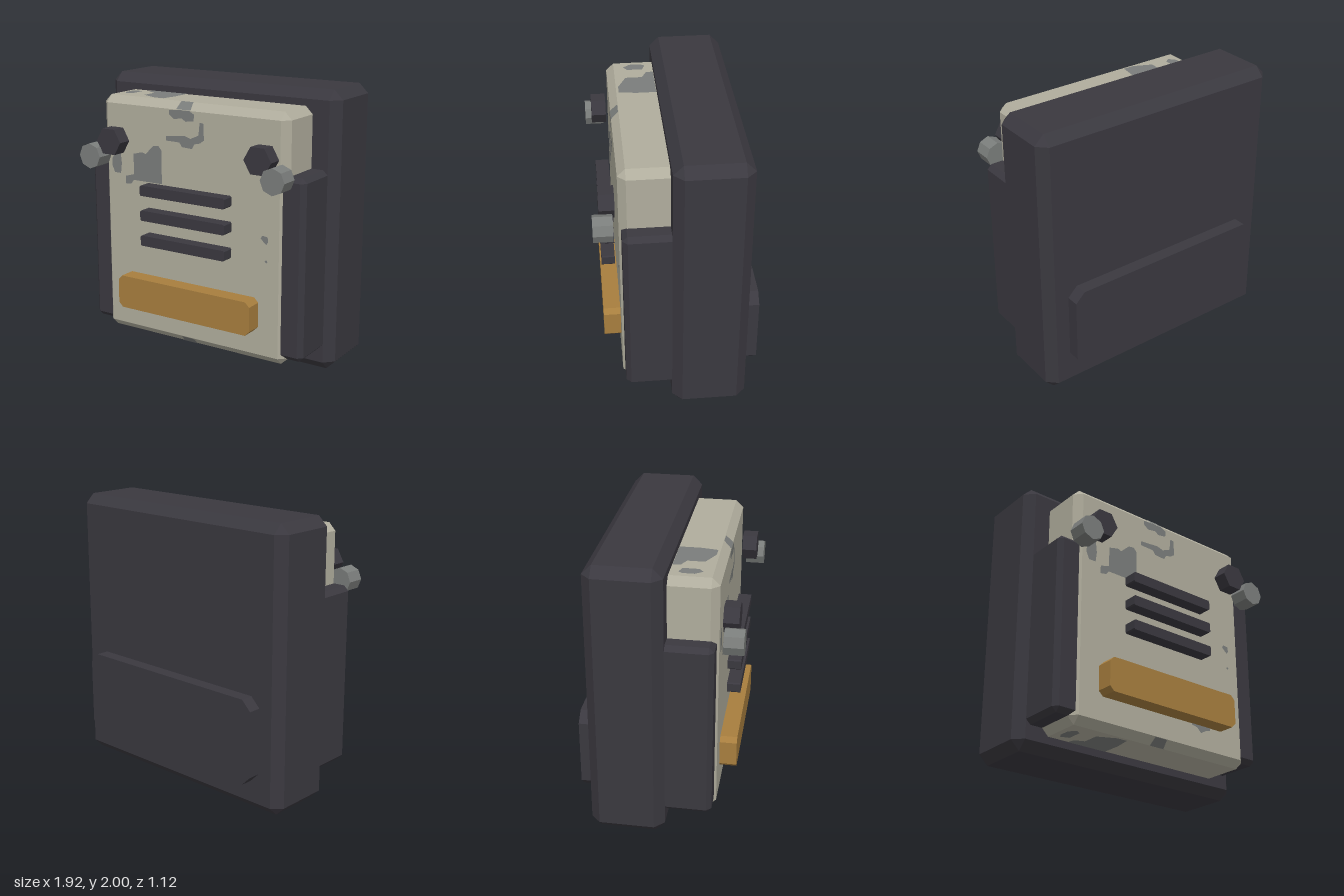
import * as THREE from 'three';
import { ConvexGeometry } from 'three/addons/geometries/ConvexGeometry.js';

const mat = (name, color) => {
  const m = new THREE.MeshStandardMaterial({ color });
  m.name = name;
  return m;
};

// Box with every edge bevelled by c
function chamferBox([x0, x1], [y0, y1], [z0, z1], c) {
  const h = [(x1 - x0) / 2, (y1 - y0) / 2, (z1 - z0) / 2];
  const pts = [];
  for (const sx of [-1, 1]) for (const sy of [-1, 1]) for (const sz of [-1, 1]) {
    for (let axis = 0; axis < 3; axis++) {
      const p = h.map((v, i) => (i === axis ? v : v - c));
      pts.push(new THREE.Vector3(p[0] * sx, p[1] * sy, p[2] * sz));
    }
  }
  return new ConvexGeometry(pts).translate((x0 + x1) / 2, (y0 + y1) / 2, (z0 + z1) / 2);
}

// Plate with cut corners in the front plane, extruded along z
function cutPlate(hx, y0, y1, z0, z1, c) {
  const shape = new THREE.Shape([
    [-hx + c, y0], [hx - c, y0], [hx, y0 + c], [hx, y1 - c],
    [hx - c, y1], [-hx + c, y1], [-hx, y1 - c], [-hx, y0 + c],
  ].map(([x, y]) => new THREE.Vector2(x, y)));
  return new THREE.ExtrudeGeometry(shape, { depth: z1 - z0, bevelEnabled: false }).translate(0, 0, z0);
}

const flatPatch = (pts) =>
  new THREE.ShapeGeometry(new THREE.Shape(pts.map(([x, y]) => new THREE.Vector2(x, y))));

export function createModel() {
  const dark = mat('darkCasing', 0x3a383f);
  const panel = mat('stonePanel', 0xb0ad9d);
  const ochre = mat('ochrePlate', 0xa77e3e);
  const grey = mat('wornGrey', 0x7a7d7b);

  const group = new THREE.Group();
  const add = (name, geometry, material) => {
    const mesh = new THREE.Mesh(geometry, material);
    mesh.name = name;
    group.add(mesh);
    return mesh;
  };

  // Main bodies
  add('backCasing', chamferBox([-0.96, 0.96], [0, 2], [-0.467, 0.053], 0.067), dark);
  add('backPad', cutPlate(0.79, 0.22, 0.83, -0.56, -0.45, 0.07), dark);
  add('frontPanel', chamferBox([-0.77, 0.77], [0.12, 1.885], [-0.05, 0.39], 0.053), panel);

  // Grille bars and lower plate
  [0.845, 1.03, 1.212].forEach((y, i) =>
    add('grilleBar' + (i + 1), cutPlate(0.353, y, y + 0.075, 0.41, 0.505, 0.008), dark));
  add('lowerPlate', cutPlate(0.56, 0.345, 0.588, 0.385, 0.51, 0.033), ochre);

  // Side pods, hex bolts and round pegs, mirrored
  for (const [side, s] of [['left', 1], ['right', -1]]) {
    const xs = s > 0 ? [0.67, 0.893] : [-0.893, -0.67];
    add(side + 'SidePod', chamferBox(xs, [0.17, 1.46], [-0.05, 0.375], 0.034), dark);

    const hex = new THREE.CylinderGeometry(0.105, 0.105, 0.105, 6).toNonIndexed();
    hex.rotateY(Math.PI / 6).rotateX(Math.PI / 2).computeVertexNormals();
    add(side + 'HexBolt', hex.translate(s * 0.615, 1.574, 0.4625), dark);

    const peg = new THREE.CylinderGeometry(0.092, 0.092, 0.133, 8).toNonIndexed();
    peg.rotateX(Math.PI / 2).computeVertexNormals();
    add(side + 'Peg', peg.translate(s * 0.754, 1.463, 0.4935), grey);
  }

  // Worn patches on the panel front
  const frontPatches = [
    [[-0.1, 1.832], [0, 1.832], [0.04, 1.81], [0.035, 1.765], [-0.03, 1.755], [-0.065, 1.775],
      [-0.13, 1.765], [-0.17, 1.795], [-0.17, 1.825]],
    [[0.085, 1.76], [0.115, 1.755], [0.12, 1.64], [0.085, 1.615], [0.04, 1.605], [0.02, 1.57],
      [-0.065, 1.575], [-0.085, 1.605], [-0.2, 1.607], [-0.2, 1.64], [-0.04, 1.655], [0.01, 1.64], [0.075, 1.67]],
    [[-0.265, 1.56], [-0.24, 1.53], [-0.24, 1.288], [-0.49, 1.288], [-0.51, 1.26], [-0.56, 1.25],
      [-0.56, 1.31], [-0.487, 1.33], [-0.487, 1.48], [-0.41, 1.5], [-0.38, 1.49], [-0.31, 1.555]],
    [[-0.685, 1.38], [-0.66, 1.325], [-0.605, 1.325], [-0.595, 1.4], [-0.605, 1.485], [-0.64, 1.49], [-0.68, 1.43]],
    [[0.25, 0.36], [0.25, 0.335], [0.3, 0.325], [0.335, 0.29], [0.38, 0.315], [0.42, 0.325], [0.42, 0.36]],
    [[0.575, 1.02], [0.6, 0.995], [0.62, 0.98], [0.635, 1.0], [0.63, 1.035], [0.59, 1.04]],
    [[0.61, 0.86], [0.62, 0.85], [0.633, 0.86], [0.62, 0.873]],
  ];
  frontPatches.forEach((pts, i) =>
    add('frontWear' + (i + 1), flatPatch(pts).translate(0, 0, 0.393), grey));

  // Worn patches on the top and bottom faces, given as x and z
  const capPatches = [
    [[-0.56, 0.056], [-0.25, 0.056], [-0.25, 0.2], [-0.27, 0.32], [-0.35, 0.32], [-0.48, 0.26],
      [-0.48, 0.14], [-0.55, 0.11]],
    [[-0.66, 0.11], [-0.6, 0.13], [-0.6, 0.24], [-0.64, 0.27], [-0.68, 0.22], [-0.68, 0.14]],
  ];
  capPatches.forEach((pts, i) => {
    const top = flatPatch(pts.map(([x, z]) => [x, -z])).rotateX(-Math.PI / 2);
    add('topWear' + (i + 1), top.translate(0, 1.888, 0), grey);
    const bottom = flatPatch(pts).rotateX(Math.PI / 2);
    add('bottomWear' + (i + 1), bottom.translate(0, 0.117, 0), grey);
  });

  // Worn patches on the upper and lower front bevels
  const bevelPatch = [[-0.08, -0.036], [0.04, -0.036], [0.03, 0.036], [-0.07, 0.036]];
  const upper = flatPatch(bevelPatch).rotateX(-Math.PI / 4);
  add('upperBevelWear', upper.translate(-0.03, 1.861, 0.366), grey);
  const lower = flatPatch(bevelPatch).rotateX(Math.PI / 4);
  add('lowerBevelWear', lower.translate(-0.01, 0.144, 0.366), grey);

  return group;
}
